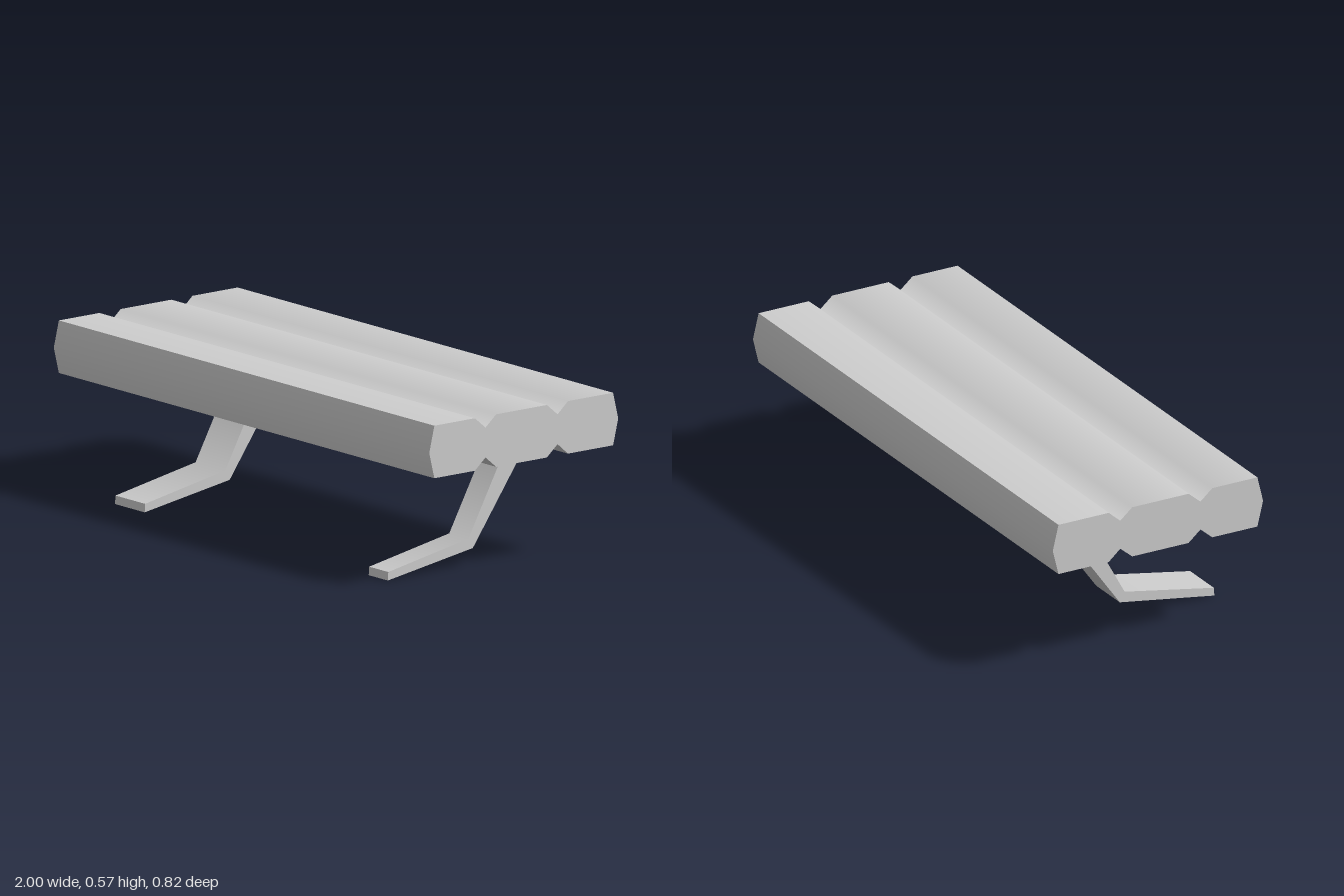
import * as THREE from 'three';

const material = new THREE.MeshStandardMaterial({ color: 0xcccccc });

// Sweeps a closed [z, y] outline (counterclockwise) along x.
// The outline is split into runs: smooth inside a run, sharp between runs.
function sweep(name, runs, x0, x1) {
  const positions = [], normals = [], indices = [];
  const add = (x, [z, y], n) => {
    positions.push(x, y, z);
    normals.push(...n);
  };

  // Long faces
  for (const run of runs) {
    const base = positions.length / 3;
    const faceNormals = run.slice(1).map((p, i) =>
      new THREE.Vector3(0, run[i][0] - p[0], p[1] - run[i][1]).normalize());
    run.forEach((p, i) => {
      const n = new THREE.Vector3();
      if (i > 0) n.add(faceNormals[i - 1]);
      if (i < faceNormals.length) n.add(faceNormals[i]);
      n.normalize();
      add(x0, p, n.toArray());
      add(x1, p, n.toArray());
      if (i < faceNormals.length) {
        const a = base + i * 2;
        indices.push(a, a + 1, a + 3, a, a + 3, a + 2);
      }
    });
  }

  // Flat ends
  const outline = runs.flatMap((run) => run.slice(0, -1));
  const triangles = THREE.ShapeUtils.triangulateShape(
    outline.map(([z, y]) => new THREE.Vector2(z, y)), []);
  for (const [x, side] of [[x0, -1], [x1, 1]]) {
    const base = positions.length / 3;
    outline.forEach((p) => add(x, p, [side, 0, 0]));
    for (const [a, b, c] of triangles) {
      indices.push(base + a, base + (side < 0 ? b : c), base + (side < 0 ? c : b));
    }
  }

  const geometry = new THREE.BufferGeometry();
  geometry.setAttribute('position', new THREE.Float32BufferAttribute(positions, 3));
  geometry.setAttribute('normal', new THREE.Float32BufferAttribute(normals, 3));
  geometry.setIndex(indices);
  const mesh = new THREE.Mesh(geometry, material);
  mesh.name = name;
  return mesh;
}

// Seat: three planks joined by V grooves above and below
function createSeat() {
  const bottomY = 0.39, topY = 0.571, middleY = 0.48, grooveDepth = 0.039;
  const back = -0.387, front = 0.385;
  const grooves = [[-0.192, -0.147, -0.101], [0.118, 0.164, 0.21]];
  const groovedRun = (y, depth) => [
    [back, y],
    ...grooves.flatMap(([a, b, c]) => [[a, y], [b, y + depth], [c, y]]),
    [front, y],
  ];
  return sweep('seat', [
    groovedRun(bottomY, grooveDepth),
    [[front, bottomY], [0.407, middleY], [front, topY]],
    groovedRun(topY, -grooveDepth).reverse(),
    [[back, topY], [-0.409, middleY], [back, bottomY]],
  ], -1, 1);
}

// Bent leg whose pointed top fits into the rear groove
function createLeg(name, x0, x1) {
  return sweep(name, [
    [[-0.192, 0.39], [0.043, 0.06], [0.41, 0.002]],
    [[0.41, 0.002], [0.408, 0.031]],
    [[0.408, 0.031], [0.062, 0.095], [-0.101, 0.39]],
    [[-0.101, 0.39], [-0.147, 0.429]],
    [[-0.147, 0.429], [-0.192, 0.39]],
  ], x0, x1);
}

export function createModel() {
  const group = new THREE.Group();
  group.name = 'bench';
  group.add(
    createSeat(),
    createLeg('rightLeg', -0.67, -0.512),
    createLeg('leftLeg', 0.681, 0.783),
  );
  return group;
}
